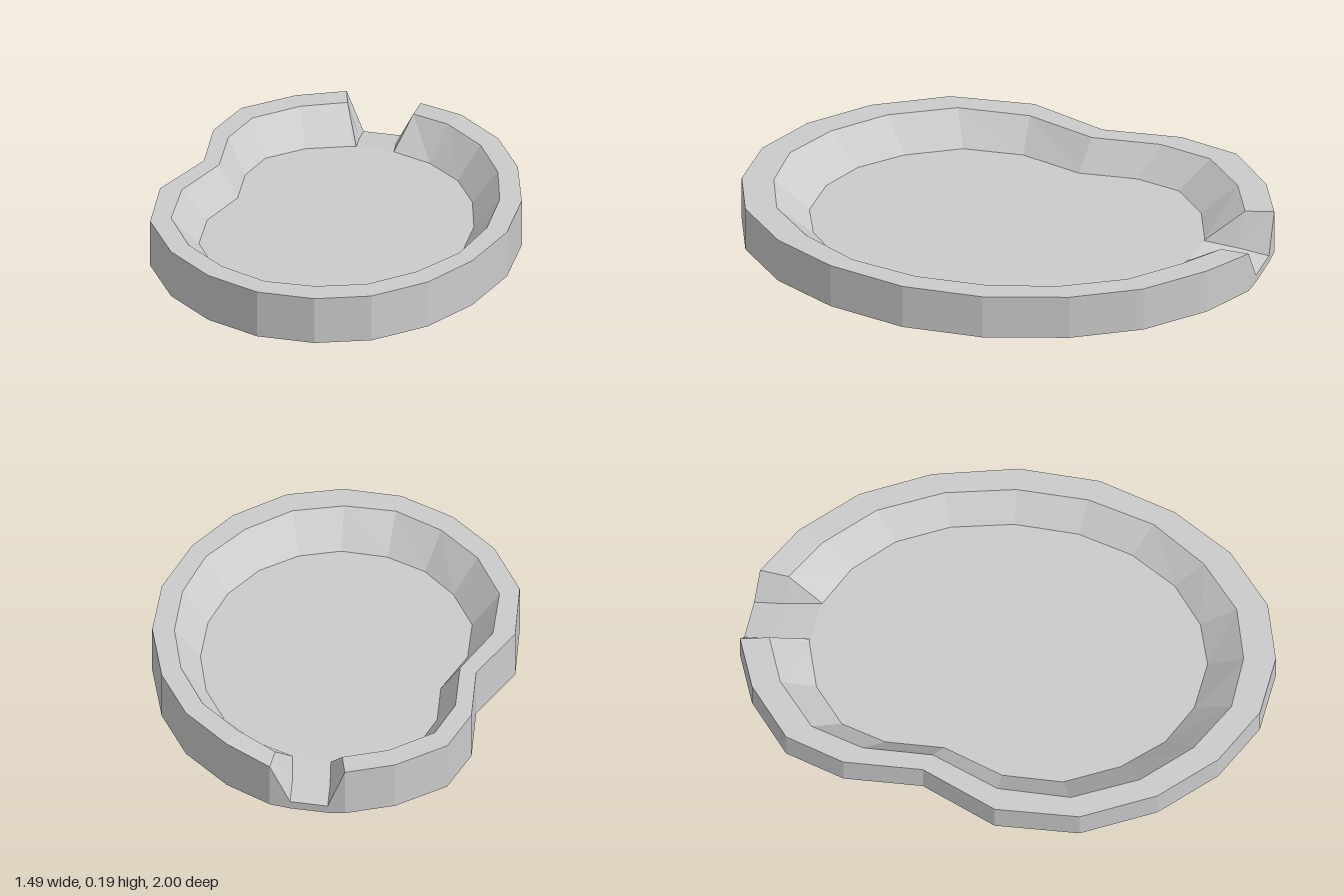
import * as THREE from 'three';

const TOP = 0.19, FLOOR = 0.072, BASE = 0.006;

// Stations round the kidney outline: outer x,z, inner rim x,z, floor x,z
const basin = [
  [0.64, -0.68, 0.57, -0.6, 0.48, -0.51],
  [0.73, -0.42, 0.65, -0.37, 0.55, -0.32],
  [0.745, -0.13, 0.66, -0.1, 0.56, -0.1],
  [0.69, 0.2, 0.61, 0.17, 0.515, 0.14],
  [0.57, 0.49, 0.505, 0.43, 0.42, 0.37],
  [0.38, 0.74, 0.35, 0.65, 0.29, 0.55],
  [0.17, 0.91, 0.15, 0.8, 0.13, 0.68],
  [-0.07, 1, -0.06, 0.88, -0.045, 0.74],
  [-0.29, 0.98, -0.26, 0.86, -0.21, 0.73],
  [-0.49, 0.87, -0.44, 0.77, -0.37, 0.64],
  [-0.64, 0.67, -0.57, 0.59, -0.48, 0.5],
  [-0.73, 0.41, -0.65, 0.36, -0.54, 0.31],
  [-0.745, 0.1, -0.66, 0.085, -0.55, 0.08],
  [-0.64, -0.21, -0.56, -0.18, -0.47, -0.14],
  [-0.42, -0.44, -0.37, -0.39, -0.31, -0.33],
  [-0.32, -0.73, -0.28, -0.645, -0.235, -0.545],
  [-0.17, -0.92, -0.15, -0.815, -0.125, -0.69],
  [0.06, -1, 0.055, -0.89, 0.045, -0.75],
];

// Stations across the pouring notch, with outer, rim and base heights added
const notch = [
  [0.26, -1, 0.24, -0.89, 0.23, -0.735, TOP, TOP, BASE],
  [0.32, -0.97, 0.28, -0.86, 0.24, -0.73, 0.03, 0.05, 0],
  [0.45, -0.9, 0.41, -0.79, 0.36, -0.66, 0.03, 0.05, 0],
  [0.52, -0.86, 0.47, -0.76, 0.37, -0.65, 0.175, 0.175, BASE],
];

// Each station becomes a column: base, outer top, inner rim, floor
const columns = [...basin, ...notch].map(
  ([ox, oz, rx, rz, fx, fz, oy = TOP, ry = TOP, by = BASE]) => [
    [ox, by, oz], [ox, oy, oz], [rx, ry, rz], [fx, FLOOR, fz],
  ]);

function facetMesh(name, triangles) {
  const geometry = new THREE.BufferGeometry();
  geometry.setAttribute('position', new THREE.Float32BufferAttribute(triangles.flat(2), 3));
  geometry.computeVertexNormals();
  const mesh = new THREE.Mesh(geometry,
    new THREE.MeshStandardMaterial({ color: 0xcccccc, flatShading: true }));
  mesh.name = name;
  return mesh;
}

// Closed band between two neighbouring rows of the columns
function band(name, row) {
  const triangles = [];
  columns.forEach((column, i) => {
    const next = columns[(i + 1) % columns.length];
    const a = column[row], b = column[row + 1], c = next[row + 1], d = next[row];
    triangles.push([a, b, c], [a, c, d]);
  });
  return facetMesh(name, triangles);
}

// Flat cap filling one row, facing up or down
function cap(name, row, up) {
  const ring = columns.map((column) => column[row]);
  const outline = ring.map(([x, , z]) => new THREE.Vector2(x, z));
  const triangles = THREE.ShapeUtils.triangulateShape(outline, []).map(([i, j, k]) => {
    const clockwise = THREE.ShapeUtils.area([outline[i], outline[j], outline[k]]) < 0;
    return (clockwise === up ? [i, j, k] : [i, k, j]).map((n) => ring[n]);
  });
  return facetMesh(name, triangles);
}

export function createModel() {
  const group = new THREE.Group();
  group.name = 'kidneyBasin';
  group.add(
    band('outerWall', 0),
    band('rimAndSpout', 1),
    band('innerWall', 2),
    cap('basinFloor', 3, true),
    cap('underside', 0, false),
  );
  return group;
}
